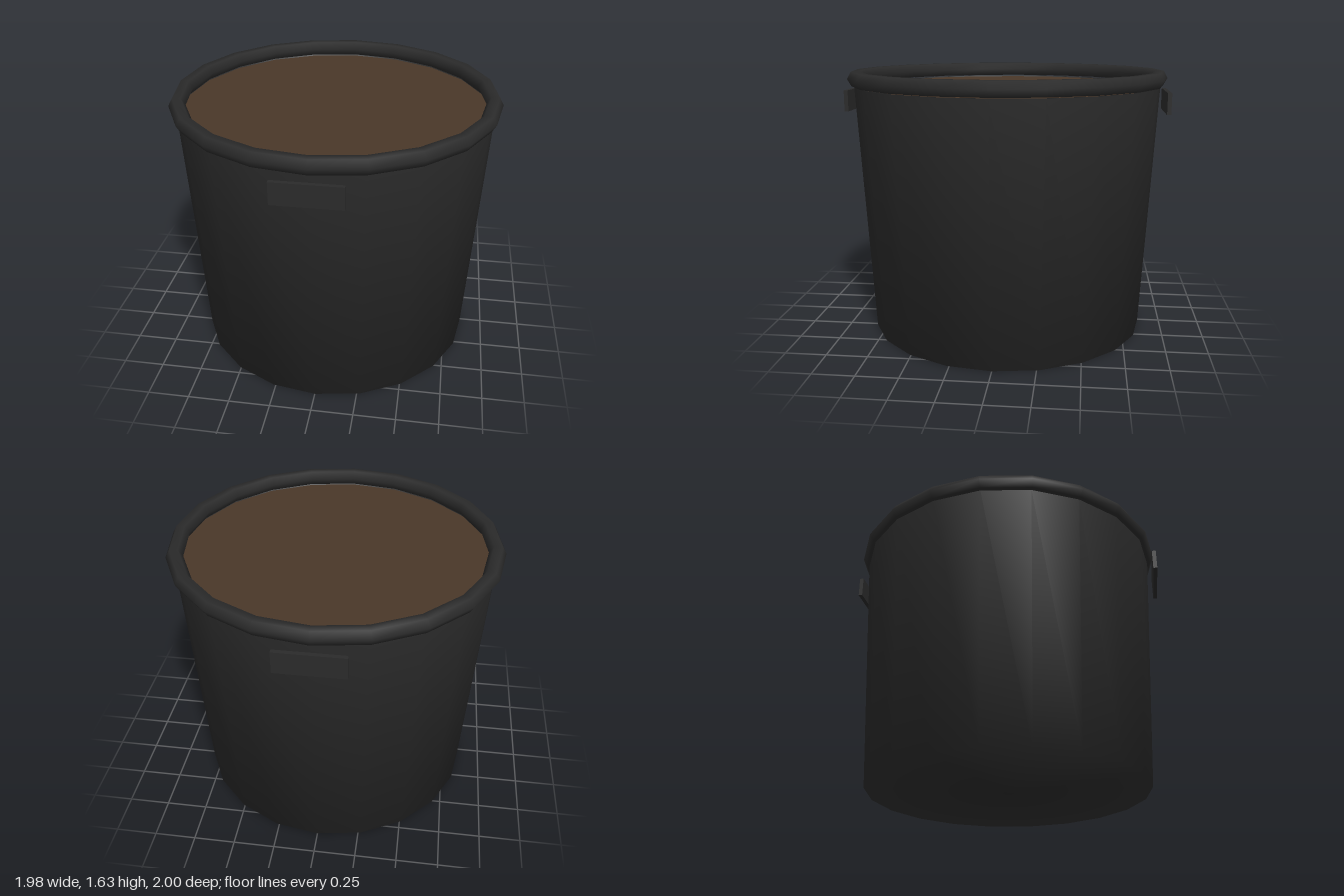
import * as THREE from 'three';

const SIDES = 20;

export function createModel() {
  const model = new THREE.Group();
  const plastic = new THREE.MeshStandardMaterial({ color: 0x2b2b2b });
  const earth = new THREE.MeshStandardMaterial({ color: 0x4a3728 });

  const add = (name, geometry, material, x, y, z) => {
    const mesh = new THREE.Mesh(geometry, material);
    mesh.name = name;
    mesh.position.set(x, y, z);
    model.add(mesh);
    return mesh;
  };

  // Tapered tub, closed at the base, with a narrow lip around the soil
  const profile = [[0, 0], [0.863, 0], [0.947, 1.535], [0.925, 1.535], [0.92, 1.5]]
    .map(([r, y]) => new THREE.Vector2(r, y));
  add('tub', new THREE.LatheGeometry(profile, SIDES), plastic, 0, 0, 0);

  // Rolled rim, six-sided in section, just above the tub
  const rim = new THREE.TorusGeometry(0.938, 0.05, 6, SIDES);
  rim.rotateX(-Math.PI / 2);
  add('rim', rim, plastic, 0, 1.585, 0);

  // Soil surface
  const soil = new THREE.CircleGeometry(0.923, SIDES);
  soil.rotateX(-Math.PI / 2);
  add('soil', soil, earth, 0, 1.53, 0);

  // Grip plates on the front and back
  for (const [name, side] of [['frontHandle', 1], ['backHandle', -1]]) {
    add(name, new THREE.BoxGeometry(0.39, 0.13, 0.025), plastic, 0, 1.443, side * 0.9875);
  }

  return model;
}
